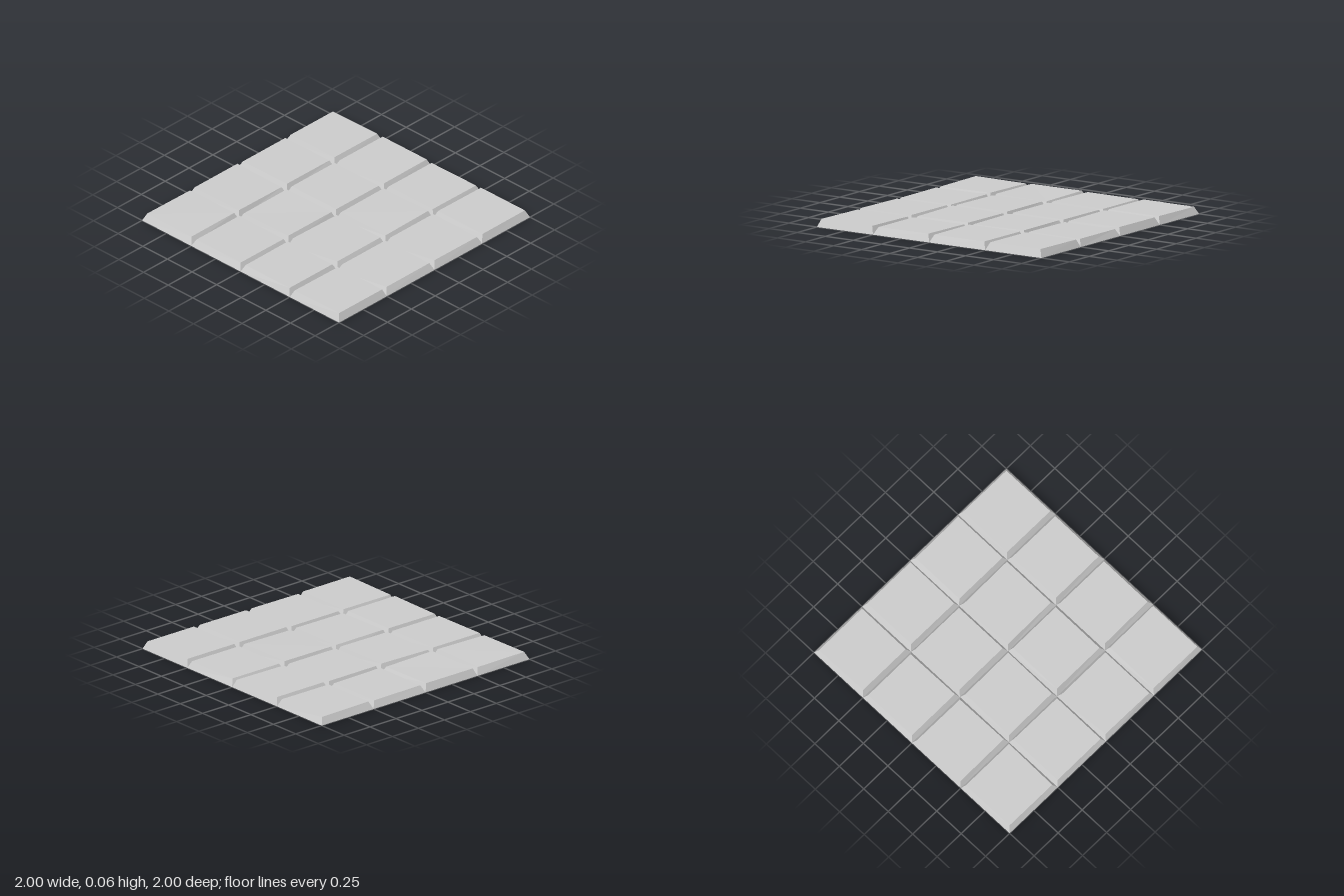
import * as THREE from 'three';

const GRID = 4;
const SIZE = 2 / GRID;
const INSET = 0.026;
const HEIGHT = 0.056;

// small seeded generator, returns -1..1
function seeded(seed) {
  let s = seed;
  return () => {
    s = (s * 16807) % 2147483647;
    return (s / 2147483647) * 2 - 1;
  };
}

// open-bottomed slab: bevelled walls and a slightly uneven top
function tileGeometry(rand) {
  const h = SIZE / 2;
  const corners = [[-1, 1], [1, 1], [1, -1], [-1, -1]];
  const points = [];
  for (const [sx, sz] of corners) points.push(sx * h, 0, sz * h);
  for (const [sx, sz] of corners) {
    points.push(
      sx * (h - INSET + rand() * 0.003),
      HEIGHT + rand() * 0.004,
      sz * (h - INSET + rand() * 0.003)
    );
  }
  const index = [4, 5, 6, 4, 6, 7];
  for (let i = 0; i < 4; i++) {
    const j = (i + 1) % 4;
    index.push(i, j, j + 4, i, j + 4, i + 4);
  }
  const indexed = new THREE.BufferGeometry();
  indexed.setAttribute('position', new THREE.Float32BufferAttribute(points, 3));
  indexed.setIndex(index);
  const geometry = indexed.toNonIndexed();
  geometry.computeVertexNormals();
  return geometry;
}

export function createModel() {
  const model = new THREE.Group();
  model.name = 'tiledFloor';
  const material = new THREE.MeshStandardMaterial({
    color: 0xcccccc, flatShading: true, side: THREE.DoubleSide
  });
  const rand = seeded(4217);

  // four rows of four tiles, touching along their bottom edges
  for (let row = 0; row < GRID; row++) {
    for (let col = 0; col < GRID; col++) {
      const tile = new THREE.Mesh(tileGeometry(rand), material);
      tile.name = `floorTile_row${row + 1}_column${col + 1}`;
      tile.position.set(-1 + (col + 0.5) * SIZE, 0, -1 + (row + 0.5) * SIZE);
      model.add(tile);
    }
  }
  return model;
}
